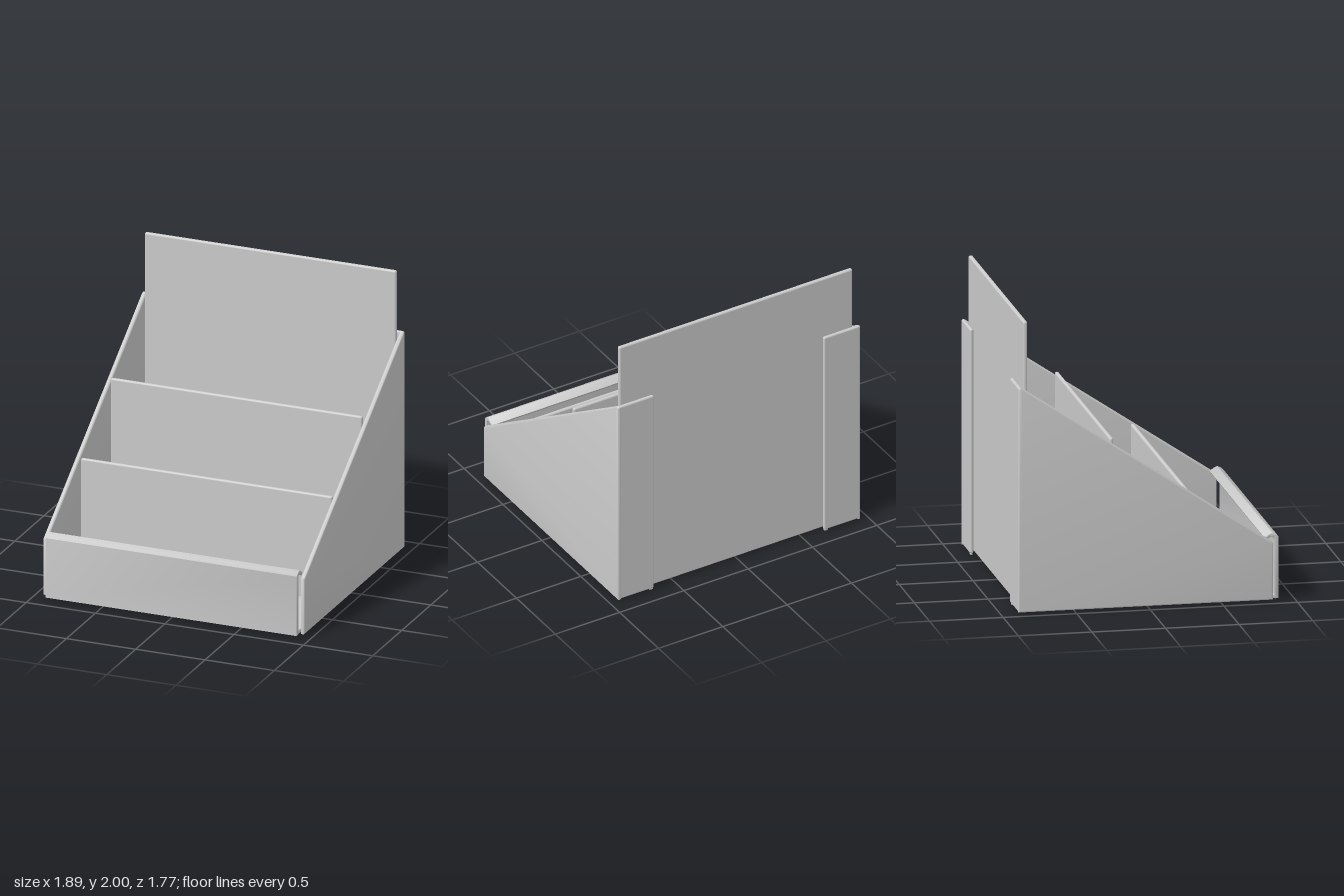
import * as THREE from 'three';
import { RoundedBoxGeometry } from 'three/addons/geometries/RoundedBoxGeometry.js';
import { toCreasedNormals } from 'three/addons/utils/BufferGeometryUtils.js';

const material = new THREE.MeshStandardMaterial({ color: 0xcccccc });

function add(group, name, geometry) {
  const mesh = new THREE.Mesh(geometry, material);
  mesh.name = name;
  group.add(mesh);
  return mesh;
}

// Sheet given by its extents, with softly rounded edges
function panel(group, name, [x0, x1], [y0, y1], [z0, z1], radius = 0.01) {
  const geometry = new RoundedBoxGeometry(x1 - x0, y1 - y0, z1 - z0, 3, radius);
  geometry.translate((x0 + x1) / 2, (y0 + y1) / 2, (z0 + z1) / 2);
  return add(group, name, geometry);
}

// Outline of [z, y] points, extruded along x between x0 and x1
function profile(group, name, points, x0, x1, bevel, crease) {
  const shape = new THREE.Shape(points.map(([z, y]) => new THREE.Vector2(z, y)));
  const depth = x1 - x0 - 2 * bevel;
  const geometry = new THREE.ExtrudeGeometry(shape, {
    depth, bevelEnabled: true, bevelThickness: bevel, bevelSize: bevel, bevelOffset: -bevel, bevelSegments: 3,
  });
  geometry.translate(0, 0, -depth / 2);
  geometry.rotateY(-Math.PI / 2);
  geometry.translate((x0 + x1) / 2, 0, 0);
  return add(group, name, toCreasedNormals(geometry, crease));
}

export function createModel() {
  const group = new THREE.Group();
  group.name = 'tieredDisplayBox';
  const width = [-0.907, 0.907];

  // Base, dividers and tall back
  panel(group, 'floor', width, [0.01, 0.04], [-0.845, 0.885]);
  panel(group, 'frontDivider', width, [0.02, 0.785], [0.257, 0.285], 0.013);
  panel(group, 'rearDivider', width, [0.02, 1.17], [-0.259, -0.231], 0.013);
  panel(group, 'backPanel', width, [0.01, 2], [-0.845, -0.815], 0.013);

  // Front panel with its top edge folded over the sloping walls
  profile(group, 'frontPanel', [
    [0.862, 0.01], [0.89, 0.01], [0.89, 0.435], [0.872, 0.452], [0.845, 0.465], [0.822, 0.453],
    [0.793, 0.433], [0.805, 0.414], [0.83, 0.43], [0.845, 0.436], [0.856, 0.43], [0.862, 0.415],
  ], width[0], width[1], 0.004, 0.8);

  for (const side of [-1, 1]) {
    const label = side > 0 ? 'left' : 'right';
    const span = (a, b) => (side > 0 ? [a, b] : [-b, -a]);

    // Sloping side wall
    profile(group, label + 'Wall', [
      [-0.885, 0.01], [0.845, 0.01], [0.845, 0.4], [0.835, 0.415],
      [-0.855, 1.548], [-0.87, 1.557], [-0.885, 1.545],
    ], ...span(0.913, 0.945), 0.012, 0.8);

    // Flap folded behind the back panel, with a small tab underneath
    panel(group, label + 'BackFlap', span(0.66, 0.942), [0.012, 1.555], [-0.885, -0.859], 0.012);
    panel(group, label + 'Tab', span(0.665, 0.695), [0, 0.03], [-0.88, -0.864], 0.006);
  }
  return group;
}
